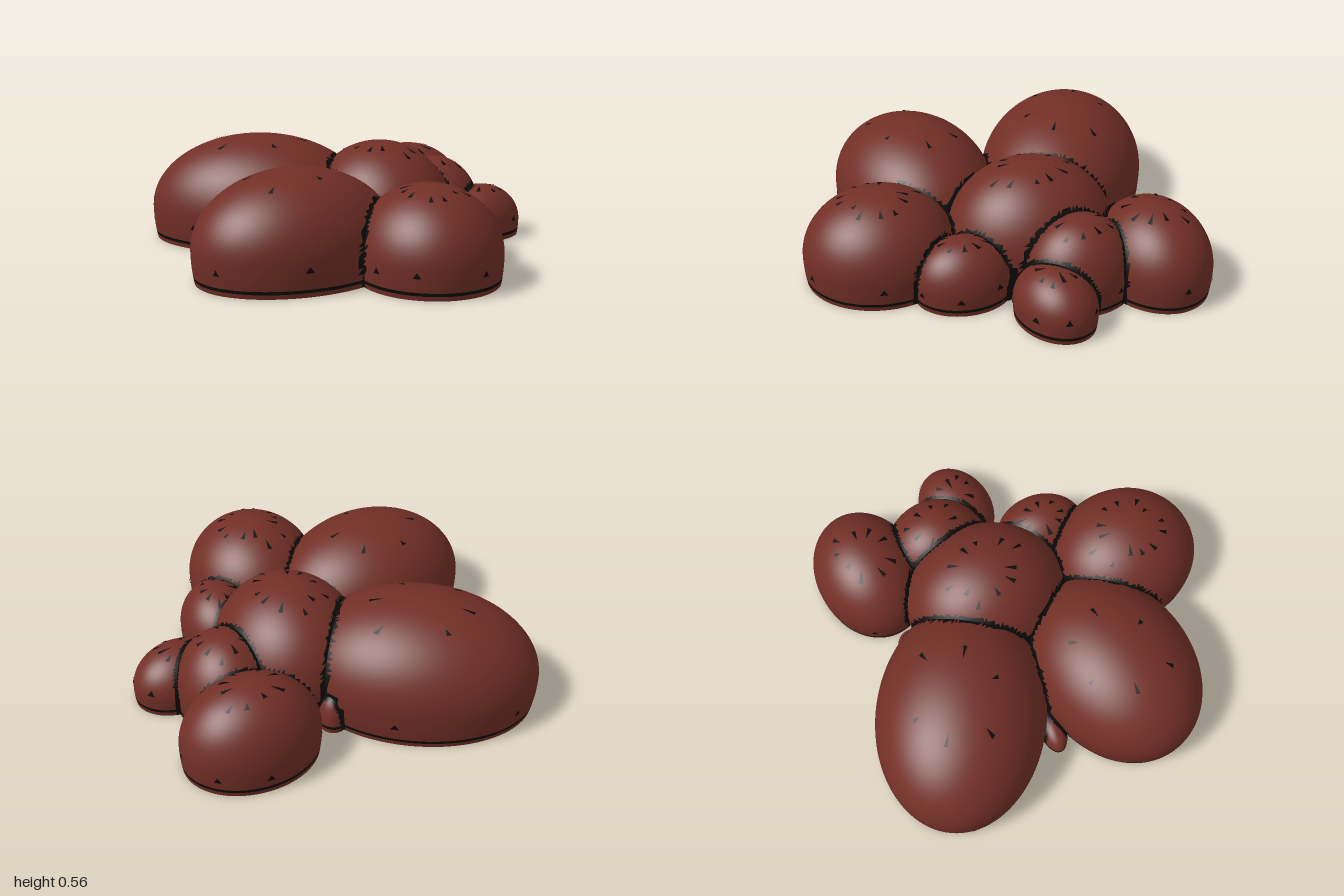
import * as THREE from 'three';

// Each boulder: footprint centre, radii, turn about y, height
const BOULDERS = [
  { name: 'backLeftBoulder', x: -0.40, z: -0.52, rx: 0.60, rz: 0.44, turn: 0.46, h: 0.565, flecks: 6 },
  { name: 'frontLeftBoulder', x: -0.45, z: 0.31, rx: 0.53, rz: 0.41, turn: -0.25, h: 0.53, flecks: 6 },
  { name: 'frontBoulder', x: 0.13, z: 0.61, rx: 0.355, rz: 0.39, turn: 0, h: 0.47, flecks: 13 },
  { name: 'centreBoulder', x: 0.17, z: -0.17, rx: 0.38, rz: 0.43, turn: 0, h: 0.55, flecks: 11 },
  { name: 'backRightBoulder', x: 0.53, z: -0.71, rx: 0.35, rz: 0.28, turn: -0.15, h: 0.43, flecks: 9 },
  { name: 'rightBoulder', x: 0.54, z: -0.31, rx: 0.25, rz: 0.28, turn: 0, h: 0.42, flecks: 9 },
  { name: 'farRightBoulder', x: 0.74, z: -0.13, rx: 0.24, rz: 0.19, turn: -0.3, h: 0.28, flecks: 9 },
  { name: 'frontRightBoulder', x: 0.43, z: 0.25, rx: 0.20, rz: 0.25, turn: 0, h: 0.32, flecks: 9 },
  { name: 'leftPebble', x: -0.60, z: -0.10, rx: 0.14, rz: 0.07, turn: 0, h: 0.12, flecks: 0 },
  { name: 'backPebble', x: 0.09, z: -0.62, rx: 0.07, rz: 0.08, turn: 0, h: 0.18, flecks: 0 },
  { name: 'rightPebble', x: 0.48, z: 0.05, rx: 0.07, rz: 0.06, turn: 0, h: 0.14, flecks: 0 },
];
const SEGS = 96, DOME_ROWS = 26, TUCK = 0.25;

let seed = 7;
const random = () => (seed = (seed * 16807) % 2147483647) / 2147483647;

// Height of the widest level, and vertical scale above and below it
const waist = (b) => 0.3 * b.h;
const scaleY = (b, y) => (y > waist(b) ? 1 / (b.h - waist(b)) : TUCK / waist(b));

// Surface point at an angle around and a height
function surface(b, angle, y) {
  const v = (y - waist(b)) * scaleY(b, y);
  const r = Math.sqrt(Math.max(0, 1 - v * v));
  const u = b.rx * r * Math.cos(angle), w = b.rz * r * Math.sin(angle);
  const c = Math.cos(b.turn), s = Math.sin(b.turn);
  return new THREE.Vector3(b.x + u * c - w * s, y, b.z + u * s + w * c);
}

// Outward normal and approximate signed distance from a boulder's surface
function probe(b, p) {
  const c = Math.cos(b.turn), s = Math.sin(b.turn);
  const dx = p.x - b.x, dz = p.z - b.z;
  const u = dx * c + dz * s, w = -dx * s + dz * c;
  const k = scaleY(b, p.y), v = (p.y - waist(b)) * k;
  const q = Math.hypot(u / b.rx, v, w / b.rz);
  const gu = u / b.rx ** 2, gw = w / b.rz ** 2;
  const normal = new THREE.Vector3(gu * c - gw * s, v * k, gu * s + gw * c);
  const distance = ((q - 1) * q) / Math.max(normal.length(), 1e-6);
  return { normal: normal.normalize(), distance };
}

function distanceToOthers(b, p) {
  return Math.min(...BOULDERS.filter((o) => o !== b).map((o) => probe(o, p).distance));
}

// Dome with a flat underside, a dark base line and dark seams at its neighbours
function boulderGeometry(b) {
  const w = waist(b);
  const levels = [0, 0.022, 0.038];
  for (let i = 1; i <= 4; i++) levels.push(0.038 + Math.max(0, w - 0.038) * i / 4);
  const start = levels[levels.length - 1];
  for (let i = 1; i <= DOME_ROWS; i++) {
    const y = w + (b.h - w) * Math.sin((i / DOME_ROWS) * Math.PI / 2);
    if (y > start) levels.push(y);
  }

  const points = [], normals = [], rock = [], dark = [];
  for (const y of levels) {
    for (let j = 0; j <= SEGS; j++) {
      const p = surface(b, (j / SEGS) * Math.PI * 2, y);
      points.push(p);
      normals.push(probe(b, p).normal);
    }
  }
  const gap = points.map((p) => distanceToOthers(b, p));
  const row = SEGS + 1;
  for (let i = 0; i < levels.length - 1; i++) {
    for (let j = 0; j < SEGS; j++) {
      const a = i * row + j, c = a + row;
      for (const tri of [[a, c, a + 1], [a + 1, c, c + 1]]) {
        const d = tri.map((k) => gap[k]);
        if (Math.max(...d) < -0.03) continue; // buried
        const seam = (d[0] + d[1] + d[2]) / 3 < 0.012 + 0.010 * random();
        (seam || i === 1 ? dark : rock).push(...tri);
      }
    }
  }

  // Underside
  const base = points.length;
  points.push(new THREE.Vector3(b.x, 0, b.z));
  for (let j = 0; j <= SEGS; j++) points.push(points[j].clone());
  while (normals.length < points.length) normals.push(new THREE.Vector3(0, -1, 0));
  for (let j = 1; j <= SEGS; j++) rock.push(base, base + j, base + j + 1);

  const geo = new THREE.BufferGeometry().setFromPoints(points);
  geo.setAttribute('normal', new THREE.Float32BufferAttribute(normals.flatMap((n) => n.toArray()), 3));
  geo.setIndex([...rock, ...dark]);
  geo.addGroup(0, rock.length, 0);
  geo.addGroup(rock.length, dark.length, 1);
  return geo;
}

// Thin dark slivers: a ring pointing to the crown and a few near the base
function fleckGeometry(b) {
  const points = [];
  const w = waist(b), rise = b.h - w;
  const size = (b.rx + b.rz) / 2;
  const add = (angle, y0, y1, width) => {
    const tri = [surface(b, angle - width, y0), surface(b, angle, y1), surface(b, angle + width, y0)];
    if (distanceToOthers(b, tri[1]) < 0.02) return;
    for (const p of tri) points.push(p.addScaledVector(probe(b, p).normal, 0.004));
  };
  for (let i = 0; i < b.flecks; i++) {
    const angle = ((i + 0.4 * random()) / b.flecks) * Math.PI * 2;
    const r = 0.38 + 0.22 * random(), length = (0.03 + 0.04 * random()) / size;
    const yAt = (f) => w + rise * Math.sqrt(1 - f * f);
    add(angle, yAt(r), yAt(r - length), 0.012 / (size * r));
  }
  for (let i = 0; i < 7; i++) {
    const y = 0.07 + 0.05 * random();
    add(i * 0.9 + random() * 0.4, y, y + 0.03, 0.02 / size);
  }
  const geo = new THREE.BufferGeometry().setFromPoints(points);
  geo.computeVertexNormals();
  return geo;
}

export function createModel() {
  const rock = new THREE.MeshStandardMaterial({ color: 0x712f26 });
  rock.name = 'red brown rock';
  const dark = new THREE.MeshStandardMaterial({ color: 0x0c0b0a });
  dark.name = 'black crevice';

  const model = new THREE.Group();
  model.name = 'boulderCluster';
  for (const b of BOULDERS) {
    const mesh = new THREE.Mesh(boulderGeometry(b), [rock, dark]);
    mesh.name = b.name;
    model.add(mesh);
    if (b.flecks) {
      const flecks = new THREE.Mesh(fleckGeometry(b), dark);
      flecks.name = b.name + 'Flecks';
      model.add(flecks);
    }
  }
  return model;
}
